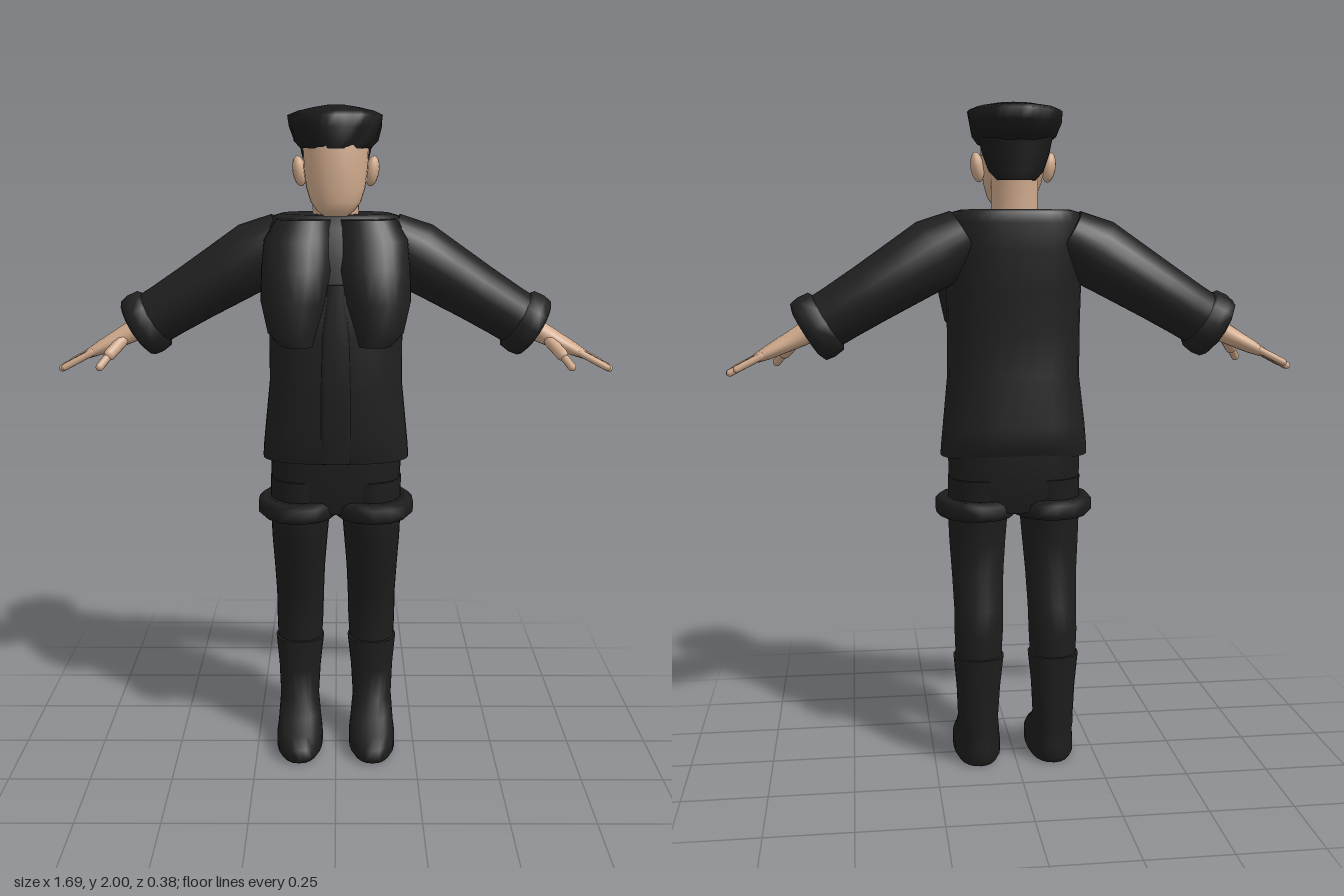
import * as THREE from 'three';

const mat = (name, color) => Object.assign(new THREE.MeshStandardMaterial({ color }), { name });

// Closed loft through stacked rings. Section: [y, centreX, centreZ, radiusX, radiusZ]
function loft(sections, { n = 24, power = 2, wobble = null } = {}) {
  const pos = [], idx = [];
  const ring = (s, k) => {
    const [y, cx, cz, rx, rz] = s, start = pos.length / 3;
    for (let j = 0; j < n; j++) {
      const a = (j / n) * Math.PI * 2, c = Math.cos(a), d = Math.sin(a);
      const w = wobble ? wobble(a, k) : 1;
      pos.push(cx + Math.sign(c) * Math.abs(c) ** (2 / power) * rx * w, y,
        cz + Math.sign(d) * Math.abs(d) ** (2 / power) * rz * w);
    }
    return start;
  };
  const starts = sections.map(ring);
  for (let i = 0; i < starts.length - 1; i++)
    for (let j = 0; j < n; j++) {
      const k = (j + 1) % n, a = starts[i] + j, b = starts[i] + k, c = starts[i + 1] + j, d = starts[i + 1] + k;
      idx.push(a, c, b, b, c, d);
    }
  // End caps with their own vertices for crisp rims
  for (const [k, top] of [[0, false], [sections.length - 1, true]]) {
    const s = sections[k], r = ring(s, k), m = pos.length / 3;
    pos.push(s[1], s[0], s[2]);
    for (let j = 0; j < n; j++) {
      const q = (j + 1) % n;
      top ? idx.push(m, r + q, r + j) : idx.push(m, r + j, r + q);
    }
  }
  const g = new THREE.BufferGeometry();
  g.setAttribute('position', new THREE.Float32BufferAttribute(pos, 3));
  g.setIndex(idx);
  g.computeVertexNormals();
  return g;
}

export function createModel() {
  const model = new THREE.Group();
  model.name = 'figure';
  const skin = mat('skin', 0xd0aa8c), coat = mat('coatBlack', 0x202020);
  const trousers = mat('trouserBlack', 0x1d1d1d), hair = mat('hairBlack', 0x191919);

  const add = (parent, name, geometry, material) => {
    const m = new THREE.Mesh(geometry, material);
    m.name = name;
    parent.add(m);
    return m;
  };
  // Rounded rod between two points
  const rod = (parent, name, a, b, r, material) => {
    const p = new THREE.Vector3(...a), q = new THREE.Vector3(...b), d = q.clone().sub(p);
    const m = add(parent, name, new THREE.CapsuleGeometry(r, d.length(), 4, 10), material);
    m.position.copy(p).add(q).multiplyScalar(0.5);
    m.quaternion.setFromUnitVectors(new THREE.Vector3(0, 1, 0), d.normalize());
  };

  // Coat body and centre placket
  add(model, 'coatBody', loft([
    [0.965, 0, -0.01, 0.222, 0.128], [1.0, 0, -0.014, 0.22, 0.144], [1.06, 0, -0.016, 0.214, 0.153],
    [1.2, 0, 0, 0.199, 0.15], [1.35, 0, -0.002, 0.199, 0.153], [1.46, 0, -0.012, 0.2, 0.153],
    [1.58, 0, -0.03, 0.206, 0.143], [1.655, 0, -0.046, 0.203, 0.125], [1.685, 0, -0.054, 0.185, 0.112],
    [1.692, 0, -0.054, 0.16, 0.1]], { n: 32, power: 2.5 }), coat);
  add(model, 'placket', loft([
    [0.967, 0, 0.03, 0.055, 0.095], [1.06, 0, 0.04, 0.055, 0.103], [1.2, 0, 0.05, 0.054, 0.106],
    [1.35, 0, 0.05, 0.05, 0.106], [1.5, 0, 0.04, 0.03, 0.1]], { power: 5 }), coat);

  // Neck, head
  add(model, 'neck', loft([
    [1.62, 0, -0.035, 0.075, 0.068], [1.7, 0, -0.035, 0.068, 0.064], [1.8, 0, -0.04, 0.07, 0.068]]), skin);
  add(model, 'head', loft([
    [1.69, 0, 0.05, 0.035, 0.035], [1.705, 0, 0.045, 0.055, 0.057], [1.73, 0, 0.035, 0.073, 0.076],
    [1.77, 0, 0.018, 0.086, 0.097], [1.82, 0, 0.004, 0.093, 0.113], [1.88, 0, -0.004, 0.096, 0.118],
    [1.94, 0, -0.008, 0.094, 0.112]], { power: 2.2 }), skin);

  // Hair at the nape and lumpy crown
  add(model, 'napeHair', loft([
    [1.775, 0, -0.085, 0.055, 0.032], [1.8, 0, -0.077, 0.08, 0.046], [1.85, 0, -0.067, 0.098, 0.06],
    [1.89, 0, -0.06, 0.107, 0.075], [1.93, 0, -0.05, 0.11, 0.09]]), hair);
  add(model, 'hairCrown', loft([
    [1.88, 0, -0.004, 0.101, 0.119], [1.9, 0, -0.022, 0.122, 0.14], [1.94, 0, -0.03, 0.134, 0.149],
    [1.972, 0, -0.036, 0.138, 0.148], [1.984, 0, -0.03, 0.11, 0.12], [1.994, 0, -0.012, 0.065, 0.075],
    [2.0, 0, 0.015, 0.025, 0.03]],
  { n: 36, wobble: (a, k) => 1 + 0.022 * Math.sin(9 * a + 1.7 * k) + 0.012 * Math.sin(5 * a - k) }), hair);

  // Hips
  add(model, 'hips', loft([
    [0.8, 0, -0.018, 0.185, 0.105], [0.88, 0, -0.02, 0.198, 0.122], [0.98, 0, -0.02, 0.2, 0.125]],
  { power: 2.6 }), trousers);

  // Everything that comes in pairs is built on +x and mirrored
  for (const [label, sx] of [['left', 1], ['right', -1]]) {
    const side = new THREE.Group();
    side.name = label + 'Side';
    side.scale.x = sx;
    model.add(side);

    // Chest flap of the coat front
    add(side, 'chestFlap', loft([
      [1.325, 0.112, 0.09, 0.054, 0.094], [1.36, 0.123, 0.088, 0.076, 0.104], [1.45, 0.119, 0.08, 0.1, 0.114],
      [1.54, 0.109, 0.06, 0.108, 0.115], [1.62, 0.105, 0.03, 0.105, 0.102], [1.68, 0.09, 0.018, 0.085, 0.084]],
    { power: 2.2 }), coat);

    const ear = add(side, 'ear', new THREE.SphereGeometry(1, 12, 10), skin);
    ear.scale.set(0.02, 0.044, 0.026);
    ear.position.set(0.106, 1.815, -0.008);
    ear.rotation.z = -0.15;

    // Leg, boot and thigh ring
    add(side, 'trouserLeg', loft([
      [0.33, 0.115, -0.07, 0.07, 0.066], [0.42, 0.114, -0.072, 0.074, 0.07], [0.5, 0.113, -0.063, 0.075, 0.075],
      [0.6, 0.113, -0.035, 0.079, 0.076], [0.7, 0.112, -0.02, 0.086, 0.092], [0.78, 0.11, -0.015, 0.091, 0.106],
      [0.9, 0.103, -0.02, 0.098, 0.12]]), trousers);
    add(side, 'boot', loft([
      [0.005, 0.115, 0.016, 0.064, 0.135], [0.02, 0.115, 0.017, 0.073, 0.147], [0.055, 0.115, 0.017, 0.073, 0.148],
      [0.082, 0.115, 0, 0.069, 0.127], [0.11, 0.116, -0.036, 0.066, 0.093], [0.15, 0.117, -0.062, 0.062, 0.069],
      [0.25, 0.116, -0.068, 0.067, 0.069], [0.35, 0.115, -0.07, 0.077, 0.075]], { power: 2.3 }), trousers);
    const profile = [[0.08, 0.78], [0.115, 0.78], [0.127, 0.792], [0.127, 0.825], [0.115, 0.838], [0.08, 0.838], [0.08, 0.78]];
    const ring = add(side, 'thighRing',
      new THREE.LatheGeometry(profile.map(([r, y]) => new THREE.Vector2(r, y)), 14), trousers);
    ring.scale.z = 1.18;
    ring.position.set(0.113, 0, -0.01);

    // Arm: local y runs from shoulder to fingertips, local -x is up
    const arm = new THREE.Group();
    arm.name = 'arm';
    arm.position.set(0.15, 1.62, -0.065);
    arm.rotation.z = -2.118;
    side.add(arm);
    add(arm, 'sleeve', loft([
      [0, 0, 0, 0.08, 0.09], [0.1, 0, -0.003, 0.104, 0.104], [0.2, 0, -0.012, 0.097, 0.106],
      [0.32, 0, -0.019, 0.089, 0.104], [0.42, 0, -0.02, 0.084, 0.093], [0.5, 0, -0.02, 0.082, 0.084]]), coat);
    add(arm, 'cuff', loft([
      [0.462, 0, -0.02, 0.08, 0.08], [0.472, 0, -0.02, 0.096, 0.094], [0.505, 0, -0.02, 0.1, 0.1],
      [0.532, 0, -0.02, 0.095, 0.093], [0.54, 0, -0.02, 0.075, 0.075]], { n: 12 }), coat);

    // Hand
    add(arm, 'palm', loft([
      [0.5, 0, -0.005, 0.036, 0.036], [0.56, -0.002, -0.002, 0.031, 0.034], [0.61, -0.006, 0.002, 0.026, 0.044],
      [0.66, -0.01, 0, 0.021, 0.047], [0.7, -0.014, 0, 0.014, 0.044]], { n: 16 }), skin);
    [0.76, 0.785, 0.79, 0.775].forEach((tip, i) => {
      const z = -0.036 + i * 0.024;
      rod(arm, 'finger', [-0.013, 0.68, z], [-0.019, tip, z * 1.15], 0.0105, skin);
    });
    rod(arm, 'thumbBase', [0.005, 0.585, 0.025], [0.018, 0.63, 0.07], 0.018, skin);
    rod(arm, 'thumb', [0.018, 0.63, 0.07], [0.032, 0.668, 0.104], 0.012, skin);
  }
  return model;
}
